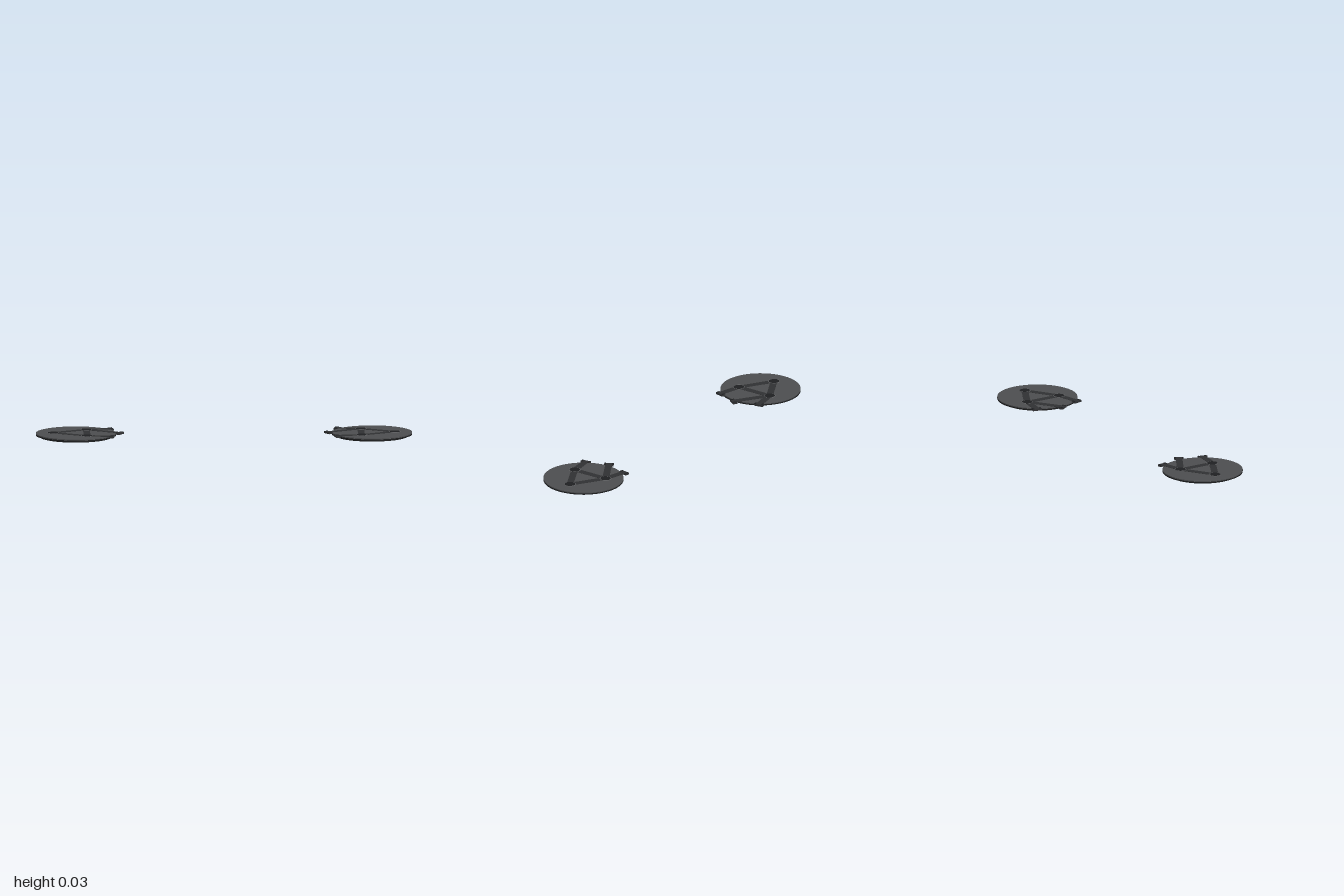
import * as THREE from 'three';

const mat = (color) => new THREE.MeshStandardMaterial({ color });

export function createModel() {
  const model = new THREE.Group();
  const rubber = mat(0x1a1b1c), plate = mat(0x4c4d4f), strut = mat(0x303133), cap = mat(0x1f2022), trim = mat(0x6a6b6d);

  const add = (parent, name, geometry, material, x = 0, y = 0, z = 0) => {
    const mesh = new THREE.Mesh(geometry, material);
    mesh.name = name;
    mesh.position.set(x, y, z);
    parent.add(mesh);
    return mesh;
  };
  // Cylinder spanning y0..y1
  const disc = (parent, name, r, y0, y1, material, x = 0, z = 0, sides = 64) =>
    add(parent, name, new THREE.CylinderGeometry(r, r, y1 - y0, sides), material, x, (y0 + y1) / 2, z);
  // Flat bar between two [x, z] points, spanning y0..y1
  const bar = (parent, name, a, b, width, y0, y1, material) => {
    const dx = b[0] - a[0], dz = b[1] - a[1];
    const mesh = add(parent, name, new THREE.BoxGeometry(Math.hypot(dx, dz), y1 - y0, width), material,
      (a[0] + b[0]) / 2, (y0 + y1) / 2, (a[1] + b[1]) / 2);
    mesh.rotation.y = -Math.atan2(dz, dx);
    return mesh;
  };

  // Layout on the right-hand pad, relative to its centre; the other pad mirrors it
  const nodes = [[-0.12, 0], [0.058, -0.103], [0.058, 0.101]];
  const arms = [[1, [0.193, -0.131]], [1, [0.238, 0.008]], [2, [0.193, 0.126]]];

  for (const side of [1, -1]) {
    const pad = new THREE.Group();
    pad.name = side > 0 ? 'rightPad' : 'leftPad';
    pad.position.x = -0.787 * side;
    const flip = ([x, z]) => [x * side, z];

    // Stepped base and top plate
    disc(pad, 'base', 0.192, 0, 0.009, rubber);
    disc(pad, 'lowerRim', 0.213, 0.009, 0.0145, rubber);
    disc(pad, 'rimGroove', 0.211, 0.0145, 0.0155, trim);
    const edge = [[0, 0.0155], [0.213, 0.0155], [0.213, 0.0205], [0.209, 0.0215], [0, 0.0215]];
    for (let i = 0; i < edge.length - 1; i++) {
      const ring = edge.slice(i, i + 2).map((p) => new THREE.Vector2(...p));
      add(pad, 'topPlate', new THREE.LatheGeometry(ring, 64), plate);
    }

    // Triangle of struts
    nodes.forEach((n, i) =>
      bar(pad, 'strut', flip(n), flip(nodes[(i + 1) % 3]), 0.036, 0.021, 0.0225, strut));

    // Arms reaching over the inner edge, each ending in a clip with two lugs
    for (const [from, tip] of arms) {
      const a = flip(nodes[from]), b = flip(tip);
      bar(pad, 'arm', a, b, 0.036, 0.018, 0.0228, strut);
      const len = Math.hypot(b[0] - a[0], b[1] - a[1]);
      const u = [(b[0] - a[0]) / len, (b[1] - a[1]) / len];
      const at = (along, across) =>
        [b[0] + u[0] * along - u[1] * across, b[1] + u[1] * along + u[0] * across];
      bar(pad, 'clip', at(-0.018, 0), at(0.006, 0), 0.05, 0.014, 0.0232, strut);
      for (const s of [-1, 1])
        bar(pad, 'clipLug', at(-0.016, 0.02 * s), at(0.004, 0.02 * s), 0.009, 0.022, 0.025, cap);
    }

    // Round joints with a thin pale ring
    for (const n of nodes) {
      const [x, z] = flip(n);
      disc(pad, 'jointRing', 0.031, 0.021, 0.0231, trim, x, z, 32);
      disc(pad, 'joint', 0.028, 0.021, 0.0237, cap, x, z, 32);
    }
    model.add(pad);
  }
  return model;
}
